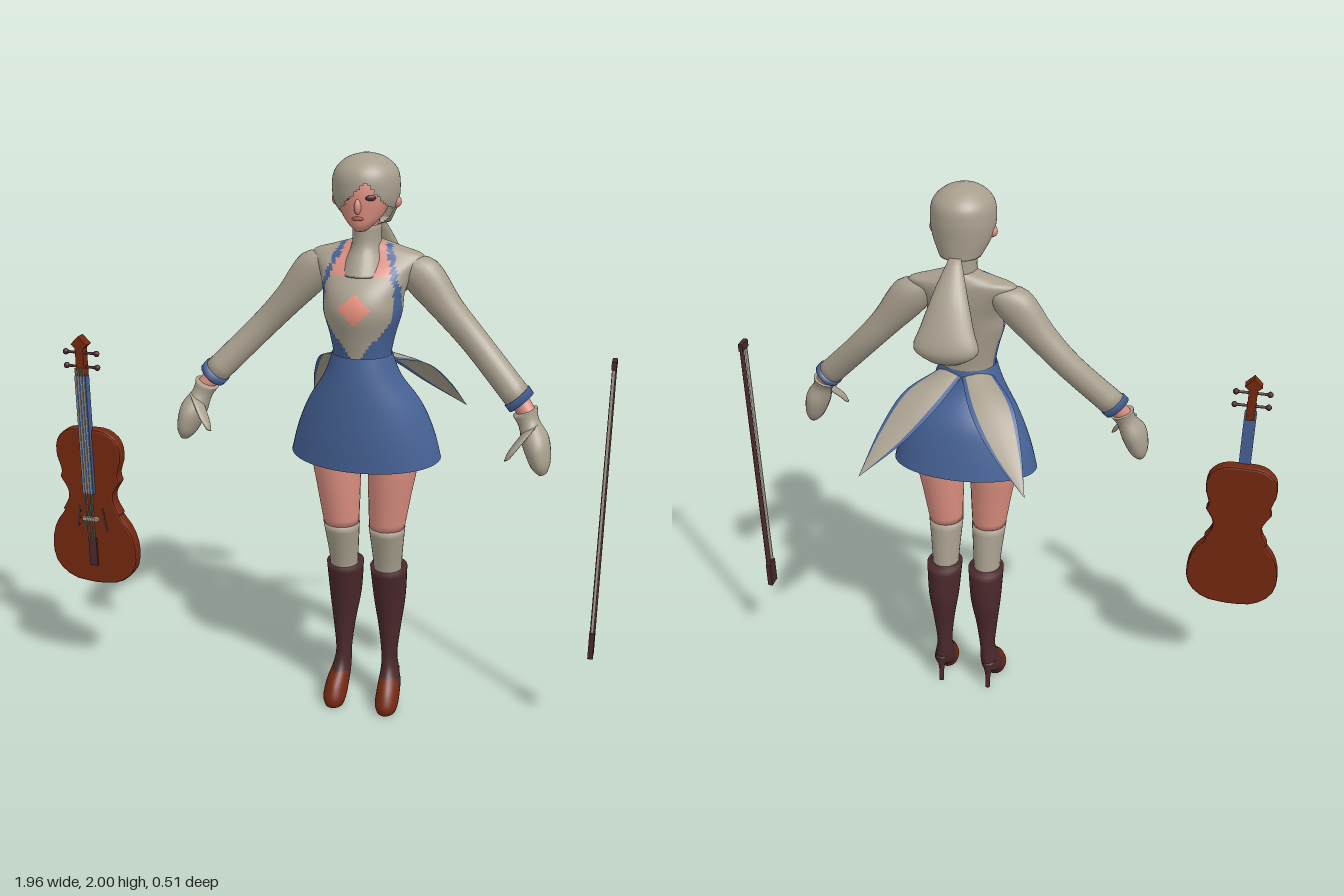
import * as THREE from 'three';

const mat = (name, color, side = THREE.FrontSide) => {
  const m = new THREE.MeshStandardMaterial({ color, side });
  m.name = name;
  return m;
};

// Cross-sections [x, y, z, halfWidth, frontDepth, backDepth], listed bottom to top,
// smoothed with a Catmull-Rom rule. pick(centroid) chooses a material slot, -1 leaves a hole.
function loft(rings, { n = 24, sub = 4, tilt = 0, cap = true, pick = () => 0 } = {}) {
  const R = rings.map(([x, y, z, w, f = w, b = f]) => [x, y, z, w, f, b]);
  const at = i => R[Math.min(Math.max(i, 0), R.length - 1)];
  const rows = [];
  for (let i = 0; i < R.length - 1; i++) {
    for (let s = 0; s < sub; s++) {
      const t = s / sub;
      rows.push(at(i).map((p1, k) => {
        const p0 = at(i - 1)[k], p2 = at(i + 1)[k], p3 = at(i + 2)[k];
        return p1 + 0.5 * t * (p2 - p0 + t * (2 * p0 - 5 * p1 + 4 * p2 - p3 + t * (3 * (p1 - p2) + p3 - p0)));
      }));
    }
  }
  rows.push(at(R.length - 1));
  const pos = [], buckets = [];
  const ct = Math.cos(tilt), st = Math.sin(tilt);
  for (const [x, y, z, w, f, b] of rows) {
    for (let j = 0; j < n; j++) {
      const a = (j / n) * Math.PI * 2, s = Math.sin(a) * w, c = Math.cos(a);
      pos.push(x + s * ct, y + s * st, z + c * (c > 0 ? f : b));
    }
  }
  const v = new THREE.Vector3();
  const face = (...ids) => {
    v.set(0, 0, 0);
    ids.forEach(i => v.add(new THREE.Vector3().fromArray(pos, i * 3)));
    const k = pick(v.divideScalar(ids.length));
    if (k < 0) return;
    (buckets[k] ||= []).push(ids[0], ids[1], ids[2]);
    if (ids.length > 3) buckets[k].push(ids[0], ids[2], ids[3]);
  };
  const last = (rows.length - 1) * n;
  for (let i = 0; i < last; i += n) {
    for (let j = 0; j < n; j++) {
      const k = (j + 1) % n;
      face(i + j, i + k, i + n + k, i + n + j);
    }
  }
  if (cap) {
    const lo = pos.length / 3;
    pos.push(...rows[0].slice(0, 3), ...rows[rows.length - 1].slice(0, 3));
    for (let j = 0; j < n; j++) {
      const k = (j + 1) % n;
      face(lo, k, j);
      face(lo + 1, last + j, last + k);
    }
  }
  return build(pos, buckets);
}

function build(pos, buckets) {
  const g = new THREE.BufferGeometry(), index = [];
  buckets.forEach((b, k) => { g.addGroup(index.length, b.length, k); index.push(...b); });
  g.setAttribute('position', new THREE.Float32BufferAttribute(pos, 3));
  g.setIndex(index);
  g.computeVertexNormals();
  return g;
}

// Mirrored copy across x = 0 with corner order restored
function mirrored(g) {
  const m = g.clone().scale(-1, 1, 1), ix = m.index.array;
  for (let i = 0; i < ix.length; i += 3) [ix[i], ix[i + 1]] = [ix[i + 1], ix[i]];
  return m;
}

export function createModel() {
  const tan = mat('warm grey cloth', 0xa89f8e, THREE.DoubleSide);
  const blue = mat('blue cloth', 0x466296, THREE.DoubleSide);
  const skin = mat('skin', 0xd98d7f);
  const coral = mat('coral', 0xe8917c);
  const leather = mat('dark leather', 0x4a282b);
  const wood = mat('red brown wood', 0x74280f);
  const lip = mat('lip', 0xb0605a);

  const model = new THREE.Group(), woman = new THREE.Group();
  const violin = new THREE.Group(), bow = new THREE.Group();
  woman.name = 'musician'; violin.name = 'violin'; bow.name = 'bow';
  woman.position.x = 0.165;
  violin.position.x = -0.815;
  bow.position.x = 0.972;
  model.add(woman, violin, bow);
  const add = (group, name, geo, m, x = 0, y = 0, z = 0) => {
    const mesh = new THREE.Mesh(geo, m);
    mesh.name = name;
    mesh.position.set(x, y, z);
    group.add(mesh);
    return mesh;
  };
  const pair = (name, geo, m) => {
    add(woman, name + 'Left', geo, m);
    add(woman, name + 'Right', mirrored(geo), m);
  };

  // Jacket with bodice, trim and keyhole
  const bodice = p => {
    const ax = Math.abs(p.x), trim = 0.085 + (1.69 - p.y) * 0.36;
    if (p.z < 0.1 && !(p.y > 1.62 && p.z > 0.07)) return 0;
    if (ax / 0.055 + Math.abs(p.y - 1.525) / 0.055 < 1) return 2;
    if (p.y < 1.34 + ax * 1.3) return 1;
    if (Math.abs(ax - Math.min(trim, 0.122)) < 0.009) return 1;
    return p.y > 1.62 && ax < trim ? 3 : 0;
  };
  add(woman, 'jacket', loft([
    [0, 1.27, 0.11, 0.11, 0.105, 0.1], [0, 1.34, 0.12, 0.095, 0.09, 0.085],
    [0, 1.42, 0.12, 0.108, 0.105, 0.09], [0, 1.5, 0.12, 0.13, 0.125, 0.1],
    [0, 1.56, 0.11, 0.134, 0.122, 0.1], [0, 1.62, 0.085, 0.155, 0.1, 0.085],
    [0, 1.675, 0.06, 0.185, 0.065, 0.06], [0, 1.7, 0.06, 0.12, 0.05, 0.055], [0, 1.72, 0.06, 0.05, 0.04, 0.045],
  ], { n: 72, sub: 6, pick: bodice }), [tan, blue, coral, skin]);
  add(woman, 'collar', loft([
    [0, 1.62, 0.1, 0.078, 0.1, 0.06], [0, 1.66, 0.09, 0.066, 0.085, 0.07],
    [0, 1.71, 0.08, 0.048, 0.064, 0.064], [0, 1.775, 0.08, 0.046, 0.062, 0.064],
  ]), tan);

  // Bell skirt with the hem lifted at the back
  const skirt = loft([
    [0, 0.985, 0.06, 0.26, 0.17, 0.165], [0, 1.08, 0.065, 0.235, 0.17, 0.15],
    [0, 1.18, 0.08, 0.193, 0.155, 0.135], [0, 1.28, 0.11, 0.13, 0.12, 0.1], [0, 1.36, 0.12, 0.1, 0.098, 0.088],
  ], { n: 48, cap: false });
  const sp = skirt.attributes.position;
  for (let i = 0; i < sp.count; i++) {
    sp.setY(i, sp.getY(i) + (0.06 - sp.getZ(i)) * 0.09 * Math.max(0, (1.35 - sp.getY(i)) / 0.37));
  }
  skirt.computeVertexNormals();
  add(woman, 'skirt', skirt, blue);

  // Coat tails: a ruled sheet between two curves, edged in blue
  const curve = pts => new THREE.CatmullRomCurve3(pts.map(p => new THREE.Vector3(...p)));
  const outer = curve([[0.1, 1.33, 0.08], [0.19, 1.29, -0.03], [0.245, 1.2, -0.14], [0.288, 1.075, -0.268]]);
  const inner = curve([[0, 1.34, 0.03], [0.06, 1.27, -0.09], [0.15, 1.18, -0.18], [0.288, 1.075, -0.268]]);
  const tp = [], tb = [[], []], C = 10, L = 14;
  for (let i = 0; i <= L; i++) {
    const o = outer.getPoint(i / L), e = inner.getPoint(i / L);
    for (let j = 0; j <= C; j++) {
      const q = o.clone().lerp(e, j / C);
      tp.push(q.x, q.y + 0.02 * Math.sin(Math.PI * j / C) * (1 - i / L), q.z);
      if (i < L && j < C) {
        const a = i * (C + 1) + j, d = a + C + 1;
        tb[j === 0 || j === C - 1 ? 1 : 0].push(a, a + 1, d + 1, a, d + 1, d);
      }
    }
  }
  pair('coatTail', build(tp, tb), [tan, blue]);

  // Head
  add(woman, 'neck', loft([[0, 1.68, 0.08, 0.042, 0.05], [0, 1.83, 0.09, 0.042, 0.05]]), skin);
  add(woman, 'face', loft([
    [0, 1.765, 0.155, 0.018, 0.028], [0, 1.785, 0.145, 0.042, 0.05], [0, 1.82, 0.128, 0.07, 0.07],
    [0, 1.88, 0.115, 0.09, 0.085], [0, 1.94, 0.105, 0.087, 0.08], [0, 1.97, 0.1, 0.055, 0.05],
  ], { n: 32 }), skin);
  add(woman, 'nose', new THREE.SphereGeometry(1, 12, 8).scale(0.011, 0.024, 0.018), skin, 0, 1.845, 0.2);
  add(woman, 'mouth', new THREE.SphereGeometry(1, 12, 8).scale(0.019, 0.007, 0.005), lip, 0, 1.808, 0.199);
  for (const s of [-1, 1]) {
    const eye = new THREE.SphereGeometry(1, 12, 8).scale(0.017, 0.009, 0.005);
    add(woman, 'eye', eye, leather, s * 0.04, 1.873, 0.193).rotation.y = s * 0.45;
    add(woman, 'ear', new THREE.SphereGeometry(0.02, 10, 8), skin, s * 0.095, 1.85, 0.09);
  }

  // Hair: shell with an opening under a swept fringe, plus a ponytail
  const hairline = x => 1.925 - (x < 0.03 ? 0.03 - x : (x - 0.03) * 1.5);
  add(woman, 'hair', loft([
    [0, 1.78, 0.05, 0.07, 0.07, 0.07], [0, 1.84, 0.085, 0.1, 0.115, 0.108], [0, 1.9, 0.095, 0.108, 0.118, 0.12],
    [0, 1.95, 0.095, 0.098, 0.108, 0.11], [0, 1.985, 0.095, 0.06, 0.068, 0.07], [0, 2, 0.095, 0.012, 0.015],
  ], { n: 64, sub: 8, pick: p => (p.z > 0.1 && p.y < hairline(p.x) ? -1 : 0) }), tan);
  add(woman, 'ponytail', loft([
    [0, 1.49, -0.165, 0.05, 0.018], [0, 1.53, -0.158, 0.108, 0.042], [0, 1.6, -0.135, 0.088, 0.04],
    [0, 1.7, -0.085, 0.055, 0.034], [0, 1.79, -0.02, 0.02, 0.018],
  ]), tan);

  // Arms and gloves, sections listed from the hand upwards
  pair('sleeve', loft([
    [0.52, 1.245, 0.12, 0.046, 0.048], [0.37, 1.4, 0.07, 0.046, 0.045], [0.272, 1.505, 0.062, 0.052, 0.05],
    [0.178, 1.615, 0.06, 0.066, 0.056], [0.11, 1.66, 0.06, 0.03, 0.04],
  ], { tilt: 0.74 }), tan);
  pair('cuff', loft([[0.53, 1.234, 0.124, 0.049, 0.051], [0.513, 1.253, 0.118, 0.05, 0.052]], { tilt: 0.74, sub: 1 }), blue);
  pair('wrist', loft([[0.565, 1.185, 0.14, 0.028], [0.515, 1.25, 0.12, 0.032]], { tilt: 0.68 }), skin);
  pair('glove', loft([
    [0.618, 1.022, 0.178, 0.016, 0.03], [0.608, 1.055, 0.175, 0.034, 0.058], [0.587, 1.12, 0.165, 0.044, 0.066],
    [0.56, 1.175, 0.148, 0.034, 0.042], [0.545, 1.21, 0.138, 0.042, 0.046],
  ], { tilt: 0.4 }), tan);
  pair('thumb', loft([
    [0.508, 1.075, 0.235, 0.011], [0.528, 1.11, 0.222, 0.021], [0.572, 1.17, 0.18, 0.024],
  ], { n: 14, tilt: 0.5 }), tan);

  // Legs
  pair('thigh', loft([
    [0.082, 0.72, 0.073, 0.062, 0.063], [0.091, 0.85, 0.075, 0.075, 0.077],
    [0.1, 0.97, 0.075, 0.085, 0.086], [0.1, 1.15, 0.08, 0.085, 0.086],
  ]), skin);
  pair('stocking', loft([
    [0.08, 0.5, 0.035, 0.05, 0.055], [0.08, 0.58, 0.045, 0.051, 0.056], [0.082, 0.722, 0.073, 0.064, 0.065],
  ]), tan);
  pair('boot', loft([
    [0.098, 0, 0.1, 0.034, 0.046, 0.045], [0.098, 0.03, 0.095, 0.042, 0.056, 0.06],
    [0.096, 0.08, 0.055, 0.04, 0.07, 0.078], [0.09, 0.13, 0.02, 0.032, 0.056, 0.05],
    [0.086, 0.19, 0.014, 0.028, 0.043], [0.085, 0.3, 0.012, 0.04, 0.048],
    [0.082, 0.42, 0.01, 0.057, 0.065], [0.08, 0.55, 0.026, 0.066, 0.075],
  ], { n: 28, pick: p => (p.y < 0.12 && p.z > 0.06 ? 1 : 0) }), [leather, wood]);
  pair('heel', loft([[0.094, 0, -0.024, 0.009], [0.094, 0.06, -0.018, 0.011], [0.094, 0.12, -0.005, 0.027]], { n: 12 }), leather);

  // Violin body from a waisted outline
  const bouts = [
    [[0, 0.428], [0.085, 0.438], [0.145, 0.487], [0.159, 0.56], [0.142, 0.635], [0.104, 0.69], [0.104, 0.705]],
    [[0.104, 0.705], [0.083, 0.745], [0.083, 0.785], [0.108, 0.83]],
    [[0.108, 0.83], [0.102, 0.86], [0.118, 0.92], [0.108, 0.975], [0.065, 1.008], [0, 1.012]],
  ];
  const half = bouts.flatMap(b => new THREE.SplineCurve(b.map(p => new THREE.Vector2(...p))).getPoints(14).slice(0, -1));
  const outline = [...half, new THREE.Vector2(0, 1.012),
    ...half.slice(1).reverse().map(p => new THREE.Vector2(-p.x, p.y))];
  add(violin, 'body', new THREE.ExtrudeGeometry(new THREE.Shape(outline), {
    depth: 0.03, bevelThickness: 0.008, bevelSize: 0.008, bevelSegments: 2,
  }), wood, 0, 0, 0.18);
  const box = (group, name, m, w, h, d, x, y, z) => add(group, name, new THREE.BoxGeometry(w, h, d), m, x, y, z);
  box(violin, 'fingerboard', blue, 0.042, 0.44, 0.028, 0, 1, 0.219);
  box(violin, 'tailpiece', leather, 0.03, 0.11, 0.008, 0, 0.55, 0.222);
  box(violin, 'bridge', tan, 0.06, 0.012, 0.016, 0, 0.68, 0.225);
  box(violin, 'pegBox', wood, 0.03, 0.13, 0.032, 0, 1.265, 0.212);
  box(violin, 'scroll', wood, 0.042, 0.042, 0.036, 0, 1.332, 0.21).rotation.z = Math.PI / 4;
  for (const s of [-1, 1]) {
    box(violin, 'soundHole', leather, 0.008, 0.09, 0.004, s * 0.05, 0.68, 0.218).rotation.z = s * 0.15;
    for (const y of [1.25, 1.3]) {
      add(violin, 'peg', new THREE.CylinderGeometry(0.005, 0.005, 0.05, 8).rotateZ(Math.PI / 2), leather, s * 0.035, y, 0.212);
      add(violin, 'pegHead', new THREE.SphereGeometry(0.011, 8, 6), leather, s * 0.058, y, 0.212);
    }
  }
  for (let i = 0; i < 4; i++) box(violin, 'string', tan, 0.004, 0.65, 0.003, (i - 1.5) * 0.01, 0.925, 0.2345);

  // Bow
  add(bow, 'stick', new THREE.CylinderGeometry(0.008, 0.01, 1.05, 10), leather, 0, 0.845, 0.03);
  box(bow, 'frog', leather, 0.018, 0.1, 0.05, 0, 0.36, 0.045);
  box(bow, 'tip', leather, 0.016, 0.028, 0.05, 0, 1.361, 0.045);
  box(bow, 'bowHair', tan, 0.01, 0.96, 0.004, 0, 0.88, 0.064);
  return model;
}
